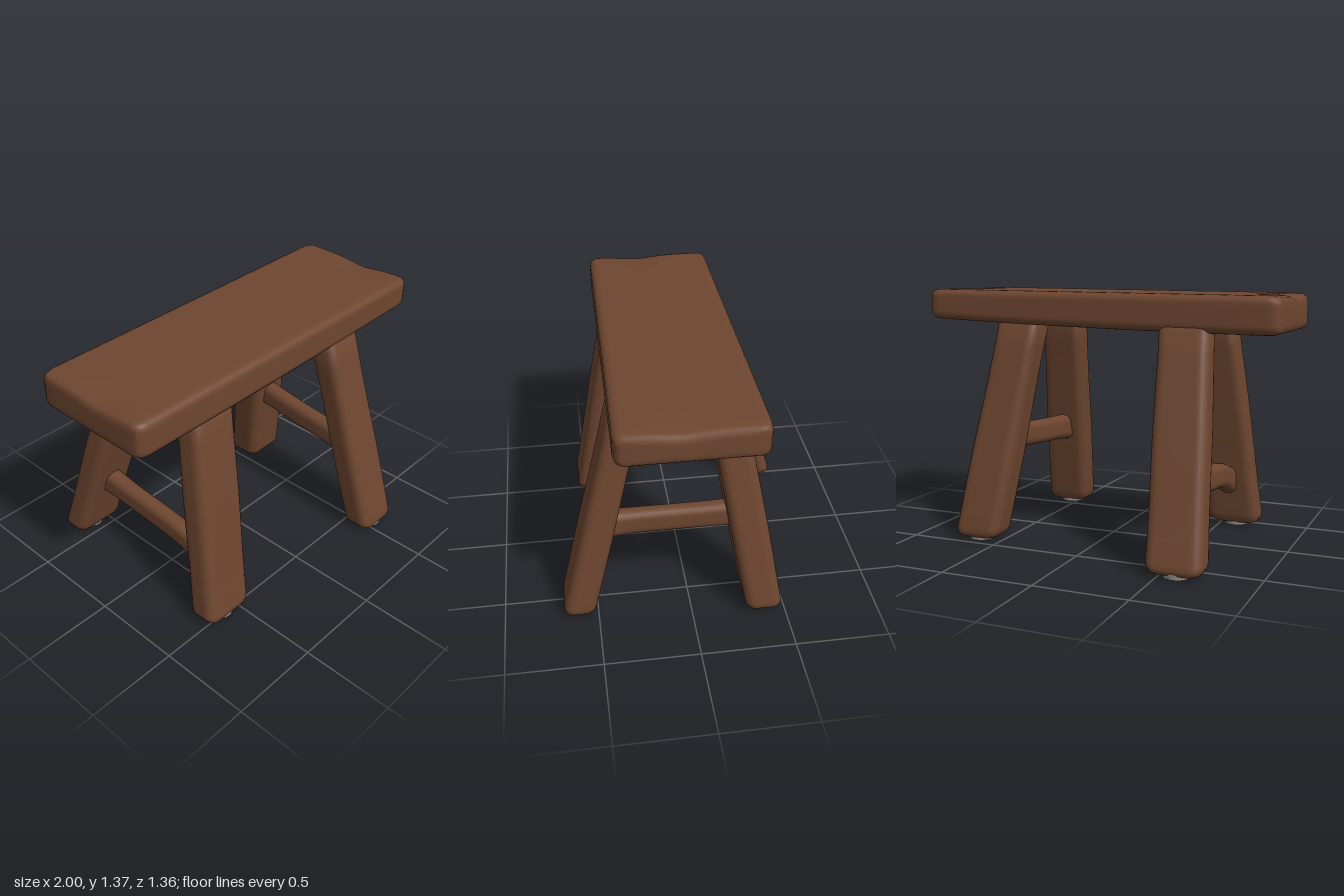
import * as THREE from 'three';

const wood = new THREE.MeshStandardMaterial({ color: 0x6e4630 });
wood.name = 'brownWood';
const padGrey = new THREE.MeshStandardMaterial({ color: 0x98948f });
padGrey.name = 'greyPad';

// Rounded rectangle outline, counter-clockwise in (u, v)
function outline(w, h, r, n) {
  const s = new THREE.Shape(), a = w / 2 - r, b = h / 2 - r, q = Math.PI / 2;
  s.absarc(a, b, r, 0, q);
  s.absarc(-a, b, r, q, 2 * q);
  s.absarc(-a, -b, r, 2 * q, 3 * q);
  s.absarc(a, -b, r, 3 * q, 4 * q);
  s.closePath();
  return s.getSpacedPoints(n).slice(0, n);
}

// Skin an outline along rings { p, su, sv }; rings advance along u x v
function loft(points, rings, u, v, warp) {
  const pos = [], index = [], n = points.length, last = rings.length - 1;
  const put = (p) => { if (warp) warp(p); pos.push(p.x, p.y, p.z); };
  for (const { p, su, sv } of rings)
    for (const q of points) put(p.clone().addScaledVector(u, q.x * su).addScaledVector(v, q.y * sv));
  put(rings[0].p.clone());
  put(rings[last].p.clone());
  const c0 = n * (last + 1);
  for (let j = 0; j < n; j++) {
    const k = (j + 1) % n;
    for (let i = 0; i < last; i++) {
      const a = i * n + j, b = i * n + k;
      index.push(a, b, b + n, a, b + n, a + n);
    }
    index.push(c0, k, j, c0 + 1, last * n + j, last * n + k);
  }
  const g = new THREE.BufferGeometry();
  g.setAttribute('position', new THREE.Float32BufferAttribute(pos, 3));
  g.setIndex(index);
  g.computeVertexNormals();
  return g;
}

const X = new THREE.Vector3(1, 0, 0), Y = new THREE.Vector3(0, 1, 0), Z = new THREE.Vector3(0, 0, 1);

function add(group, name, geometry, material) {
  const mesh = new THREE.Mesh(geometry, material);
  mesh.name = name;
  group.add(mesh);
  return mesh;
}

// Thick plank, a little higher and wider at +x, with worn ends
function seatGeometry() {
  const end = [[1, 0.5, 0.7], [0.998, 0.76, 0.9], [0.988, 0.9, 0.955], [0.965, 0.98, 0.985], [0.93, 1, 1]];
  const stations = end.map(([x, a, b]) => [-x, a, b]);
  for (let x = -0.8; x < 0.85; x += 0.2) stations.push([x, 1, 1]);
  stations.push(...end.slice().reverse());
  const rings = stations.map(([x, su, sv]) => {
    const t = (x + 1) / 2;
    const bottom = 1.16 + 0.012 * t + 0.038 * t * t, top = 1.355 + 0.018 * t;
    return {
      p: new THREE.Vector3(x, (bottom + top) / 2, 0.03 + 0.02 * t),
      su: su * (top - bottom) / 0.2, sv: sv * (0.7 + 0.02 * t) / 0.7,
    };
  });
  return loft(outline(0.2, 0.7, 0.04, 112), rings, Y, Z, (p) => {
    const edge = Math.max(0, (Math.abs(p.x) - 0.8) / 0.2);
    if (p.y > 1.3) p.y -= 0.018 * edge * Math.exp(-(((p.z - 0.1) / 0.12) ** 2));
  });
}

// Splayed leg: [top x, top z], [foot x, foot z], section size at the foot
function legGeometry([tx, tz], [fx, fz], [w, d]) {
  const top = 1.24, foot = 0.018;
  const stations = [[0, 1], [0.15, 1], [0.3, 1], [0.45, 1], [0.6, 1], [0.75, 1], [0.87, 1],
    [0.955, 1], [0.975, 0.97], [0.99, 0.88], [1, 0.7], [1, 0.4]];
  const rings = stations.map(([t, s]) => {
    const wave = 1 + 0.015 * Math.sin(t * 9 + tx * 5);
    return {
      p: new THREE.Vector3(tx + (fx - tx) * t, top + (foot - top) * t, tz + (fz - tz) * t),
      su: s * wave * (0.91 + 0.09 * t), sv: s * wave * (0.95 + 0.05 * t),
    };
  });
  return loft(outline(w, d, 0.05, 48), rings, X, Z);
}

// Stretcher swept from back to front, swelling where it meets the legs
function stretcherGeometry(path) {
  const curve = new THREE.CatmullRomCurve3(path.map((p) => new THREE.Vector3(...p)));
  const rings = curve.getSpacedPoints(20).map((p, i) => {
    const s = 1 + 0.22 * Math.abs(i / 10 - 1) ** 4;
    return { p, su: s, sv: s };
  });
  return loft(outline(0.095, 0.14, 0.042, 32), rings, X, Y);
}

export function createModel() {
  const group = new THREE.Group();
  add(group, 'seat', seatGeometry(), wood);

  const legs = [
    ['frontLeftLeg', [0.45, 0.305], [0.55, 0.605], [0.265, 0.175]],
    ['backLeftLeg', [0.455, -0.175], [0.635, -0.39], [0.27, 0.2]],
    ['frontRightLeg', [-0.485, 0.265], [-0.59, 0.468], [0.3, 0.17]],
    ['backRightLeg', [-0.5, -0.22], [-0.588, -0.605], [0.3, 0.17]],
  ];
  for (const [name, top, foot, size] of legs) {
    add(group, name, legGeometry(top, foot, size), wood);
    // Glide pad under the foot
    const pad = add(group, name + 'Pad', new THREE.CylinderGeometry(0.07, 0.066, 0.03, 20), padGrey);
    pad.position.set(foot[0], 0.015, foot[1]);
  }

  add(group, 'leftStretcher', stretcherGeometry([
    [0.55, 0.56, -0.31], [0.545, 0.552, -0.2], [0.525, 0.535, 0.05], [0.51, 0.522, 0.3], [0.505, 0.51, 0.47],
  ]), wood);
  add(group, 'rightStretcher', stretcherGeometry([
    [-0.56, 0.4, -0.48], [-0.56, 0.378, -0.24], [-0.56, 0.335, 0.2], [-0.565, 0.285, 0.34], [-0.57, 0.255, 0.42],
  ]), wood);
  return group;
}
